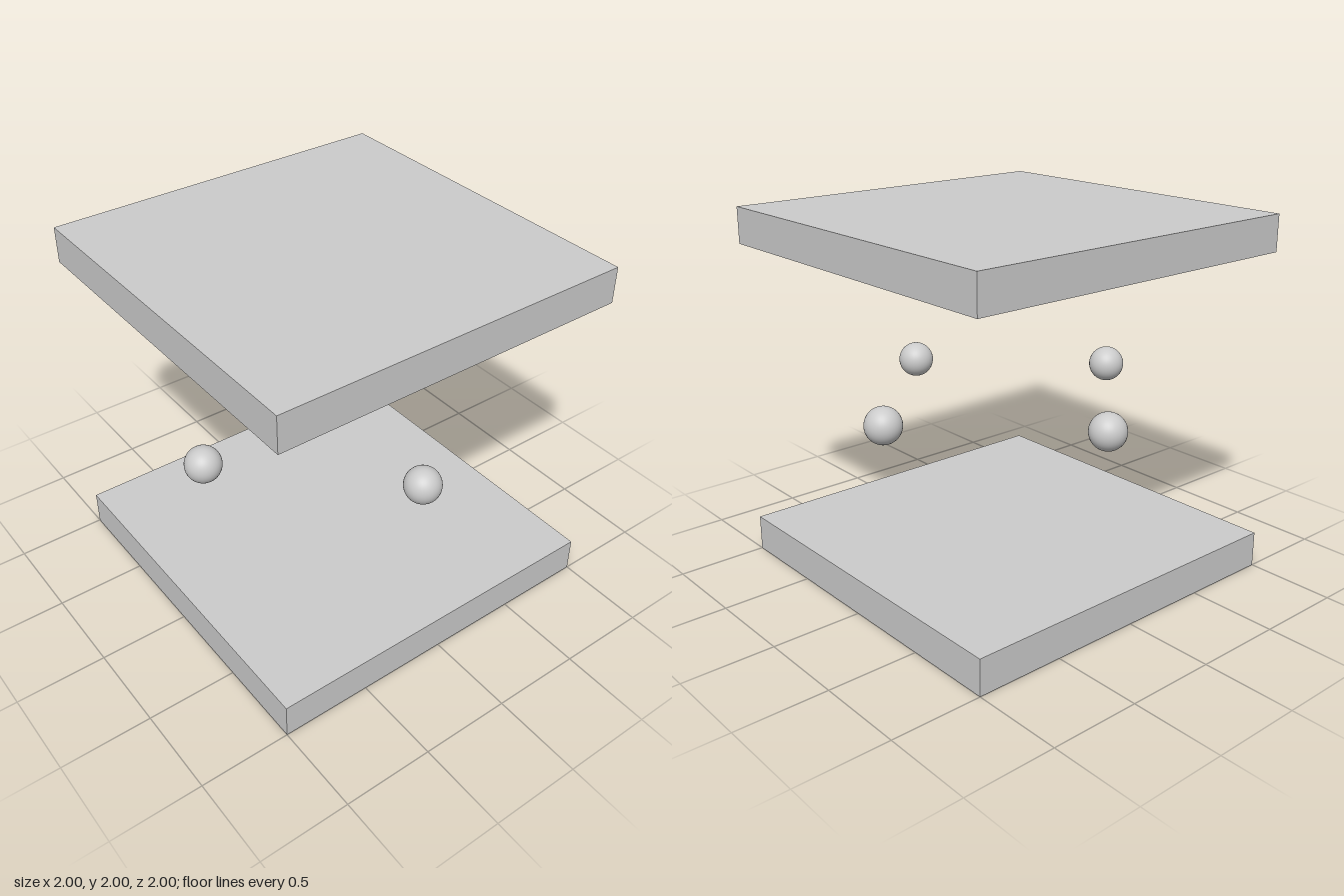
import * as THREE from 'three';

export function createModel() {
  const group = new THREE.Group();
  const material = new THREE.MeshStandardMaterial({ color: 0xcccccc });

  const add = (name, geometry, x, y, z) => {
    const mesh = new THREE.Mesh(geometry, material);
    mesh.name = name;
    mesh.position.set(x, y, z);
    group.add(mesh);
  };

  // Two matching square slabs, bottom and top
  const slab = new THREE.BoxGeometry(2, 0.2, 2);
  add('bottomSlab', slab, 0, 0.1, 0);
  add('topSlab', slab, 0, 1.9, 0);

  // Four balls floating midway, one near the middle of each side
  const ball = new THREE.SphereGeometry(0.1, 32, 32);
  const sides = { left: [1, 0], right: [-1, 0], front: [0, 1], back: [0, -1] };
  for (const [side, [x, z]] of Object.entries(sides)) {
    add(`${side}Ball`, ball, x * 0.8, 1, z * 0.8);
  }

  return group;
}
